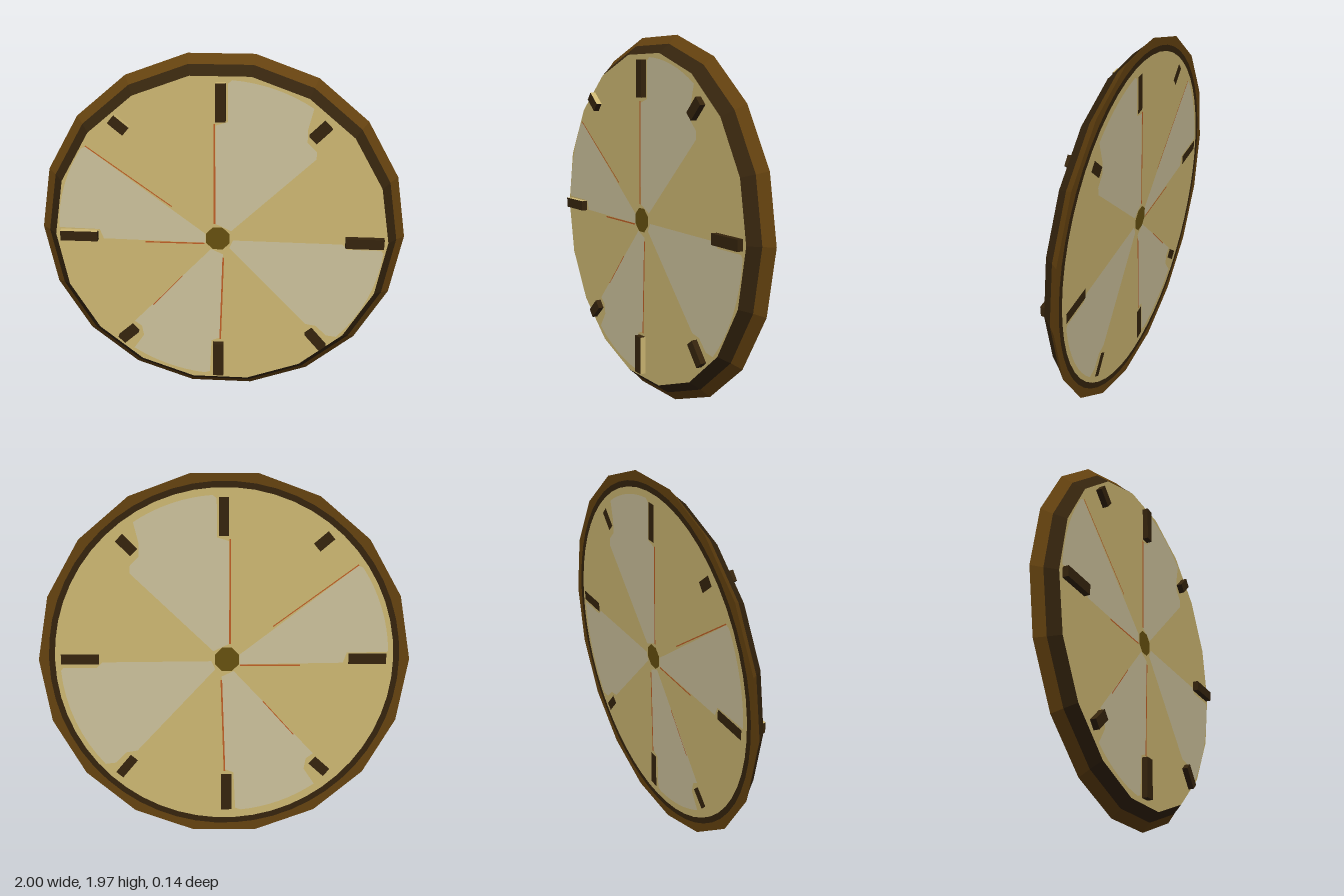
import * as THREE from 'three';

const CY = 0.985;            // height of the disc centre
const BACK = -0.065, FRONT = 0.035, SPLIT = -0.02;
const R_BACK = 1, R_FRONT = 0.905, R_SPLIT = 0.953;

const mat = (name, color, flat = false) => {
  const m = new THREE.MeshStandardMaterial({ color, side: THREE.DoubleSide, flatShading: flat });
  m.name = name;
  return m;
};

export function createModel() {
  const group = new THREE.Group();
  const brown = mat('brown wood', 0x65420f, true);
  const dark = mat('dark wood', 0x35240d, true);
  const tan = mat('tan face', 0xcdb772);
  const cream = mat('cream segment', 0xccc19b);
  const olive = mat('olive hub', 0x66500f);
  const orange = mat('orange stripe', 0xbf5f26);

  const add = (name, geo, material) => {
    const mesh = new THREE.Mesh(geo, material);
    mesh.name = name;
    group.add(mesh);
    return mesh;
  };
  const ring = (r, n) => Array.from({ length: n }, (_, i) => {
    const a = (i / n) * Math.PI * 2;
    return new THREE.Vector2(r * Math.cos(a), CY + r * Math.sin(a));
  });
  const flat = (name, pts, z, material, hole) => {
    const shape = new THREE.Shape(pts);
    if (hole) shape.holes.push(new THREE.Path(hole));
    add(name, new THREE.ShapeGeometry(shape).translate(0, 0, z), material);
  };

  // Bevelled rim in two bands, 18 sides
  const band = (name, r0, r1, z0, z1, material) => {
    const g = new THREE.CylinderGeometry(r1, r0, z1 - z0, 18, 1, true, Math.PI / 2);
    g.rotateX(Math.PI / 2).translate(0, CY, (z0 + z1) / 2);
    add(name, g, material);
  };
  band('outerRim', R_BACK, R_SPLIT, BACK, SPLIT, brown);
  band('innerRim', R_SPLIT, R_FRONT, SPLIT, FRONT, dark);

  // Front and back faces
  flat('frontFace', ring(R_FRONT, 18), FRONT, tan);
  flat('backRim', ring(R_BACK, 18), BACK, brown, ring(0.945, 54));
  flat('backDarkRing', ring(0.945, 54), BACK, dark, ring(0.913, 54));
  flat('backFace', ring(0.913, 54), BACK, tan);

  // Arc points on the face, angles in degrees
  const arc = (r, from, to) => Array.from({ length: 9 }, (_, i) => {
    const a = THREE.MathUtils.degToRad(from + ((to - from) * i) / 8);
    return [r * Math.cos(a), CY + r * Math.sin(a)];
  });

  // Cream segments, notched around the hour marks
  const segments = [
    [[-0.025, 1.07], [-0.025, 1.62], [0.04, 1.64], [0.04, 1.84], ...arc(0.875, 86, 57),
      [0.45, 1.61], [0.45, 1.54], [0.5, 1.49], [0.5, 1.45], [0.06, 1.03]],
    [[0.07, 0.975], [0.66, 0.97], [0.69, 0.94], [0.87, 0.94], ...arc(0.885, -4, -42),
      [0.6, 0.4], [0.54, 0.46], [0.48, 0.47], [0.05, 0.93]],
    [[0.015, 0.89], [0, 0.36], [-0.05, 0.34], [-0.06, 0.13], ...arc(0.87, 264, 235),
      [-0.44, 0.36], [-0.45, 0.42], [-0.49, 0.45], [-0.05, 0.92]],
    [[-0.08, 1.01], [-0.71, 1.49], ...arc(0.885, 146, 177),
      [-0.88, 1.025], [-0.66, 1.02], [-0.64, 0.965], [-0.08, 0.957]],
  ];

  // Thin orange stripes: start, end and width
  const stripes = [
    [-0.03, 1.07, -0.03, 1.63, 0.009],
    [0.017, 0.87, 0, 0.35, 0.009],
    [-0.085, 0.953, -0.41, 0.953, 0.008],
    [-0.26, 1.165, -0.71, 1.495, 0.006],
    [-0.21, 0.75, -0.38, 0.56, 0.005],
  ];

  for (const [side, z, dir] of [['front', FRONT, 1], ['back', BACK, -1]]) {
    segments.forEach((pts, i) => flat(`${side}Segment${i + 1}`,
      pts.map(([x, y]) => new THREE.Vector2(x, y)), z + dir * 0.002, cream));
    stripes.forEach(([x0, y0, x1, y1, w], i) => {
      const stripe = add(`${side}Stripe${i + 1}`,
        new THREE.PlaneGeometry(Math.hypot(x1 - x0, y1 - y0), w), orange);
      stripe.position.set((x0 + x1) / 2, (y0 + y1) / 2, z + dir * 0.004);
      stripe.rotation.z = Math.atan2(y1 - y0, x1 - x0);
    });
    const hub = add(`${side}Hub`, new THREE.CircleGeometry(0.07, 8, Math.PI / 8), olive);
    hub.position.set(-0.013, CY, z + dir * 0.004);
  }

  // Hour marks: x, y, turn in degrees, width, length, index of the tan box side
  const marks = [
    [0.003, 1.747, 0, 0.052, 0.2, 2],
    [0.515, 1.6, -45, 0.055, 0.11, -1],
    [0.778, 0.987, -90, 0.057, 0.205, -1],
    [0.54, 0.38, -140, 0.05, 0.13, -1],
    [-0.01, 0.227, 180, 0.06, 0.21, 1],
    [-0.525, 0.375, 132, 0.055, 0.11, -1],
    [-0.772, 0.987, 90, 0.057, 0.205, 0],
    [-0.525, 1.618, 50, 0.055, 0.1, 0],
  ];
  marks.forEach(([x, y, deg, w, l, tanSide], i) => {
    const sides = Array.from({ length: 6 }, (_, f) => (f === tanSide ? tan : dark));
    const front = add(`frontMark${i + 1}`, new THREE.BoxGeometry(w, l, 0.032), sides);
    front.position.set(x, y, FRONT + 0.016);
    const back = add(`backMark${i + 1}`, new THREE.PlaneGeometry(w, l), dark);
    back.position.set(x, y, BACK - 0.005);
    front.rotation.z = back.rotation.z = THREE.MathUtils.degToRad(deg);
  });

  return group;
}
